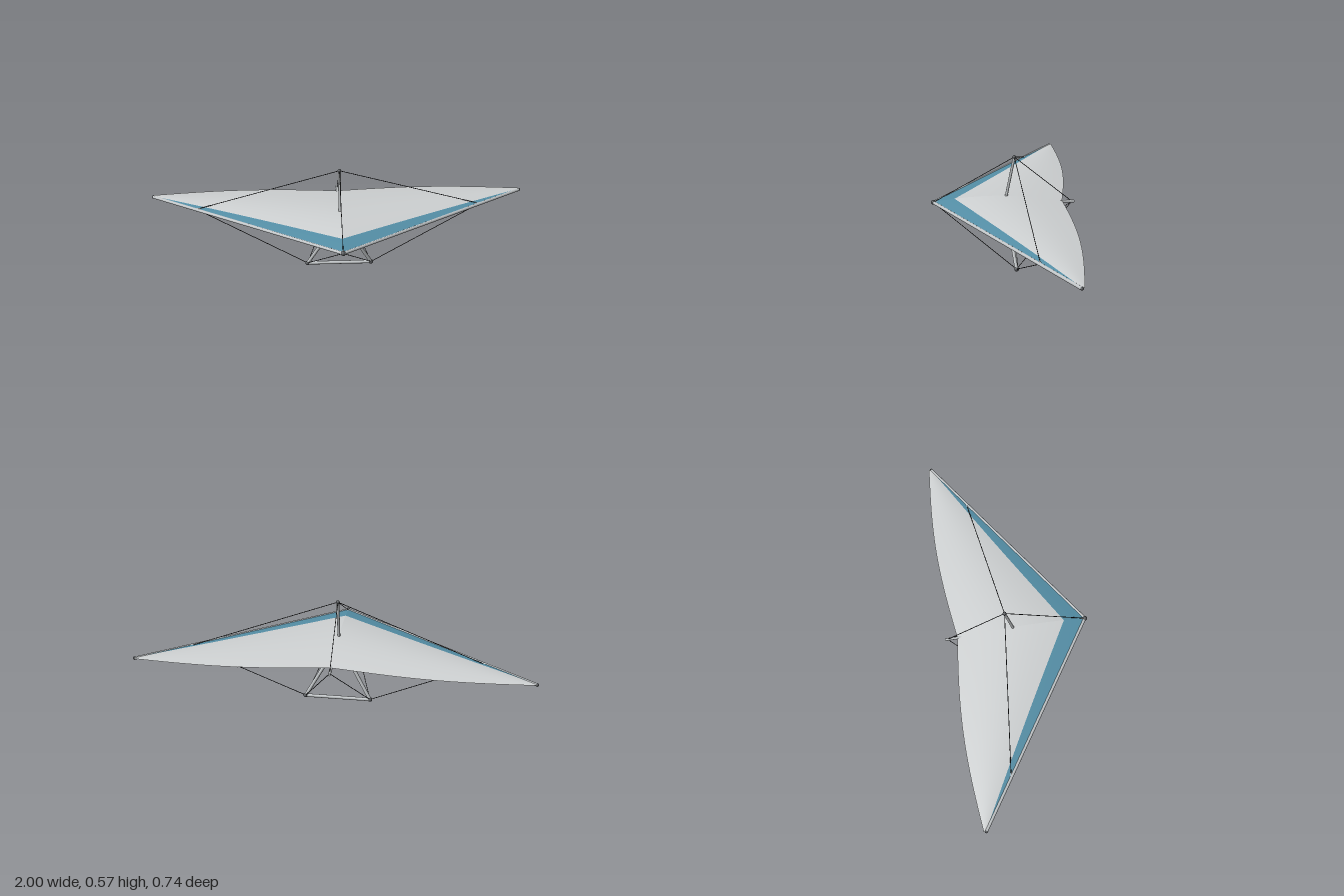
import * as THREE from 'three';

const mat = (name, color, extra = {}) => {
  const m = new THREE.MeshStandardMaterial({ color, ...extra });
  m.name = name;
  return m;
};

const V = (x, y, z) => new THREE.Vector3(x, y, z);

// Key points of the airframe
const NOSE = V(0, 0.317, 0.355);
const TAIL = V(0, 0.317, -0.373);
const APEX = V(0, 0.31, -0.014);
const MAST_TOP = V(0, 0.56, -0.062);
const wingTip = (s) => V(s * 0.994, 0.304, -0.312);
const corner = (s) => V(s * 0.17, 0.012, -0.07);
const brace = (s) => V(s * 0.75, 0.308, -0.152);

// Sail surface: u runs root to tip, t runs leading to trailing edge
function sailPoint(side, u, t) {
  const front = 0.354 - 0.666 * u;
  const back = -(0.31 + 0.015 * u + 0.035 * Math.sin(Math.PI * u));
  const chord = front - back;
  const y = 0.321 - 0.013 * u + 0.045 * chord * Math.sin(Math.PI * t);
  return V(side * u * 0.995, y, front - chord * t);
}

export function createModel() {
  const group = new THREE.Group();
  group.name = 'hangGlider';
  const sailGrey = mat('sail grey', 0xd0d3d4, { side: THREE.DoubleSide });
  const sailBlue = mat('sail blue', 0x5590a8, { side: THREE.DoubleSide });
  const tubeGrey = mat('tube grey', 0xc0c4c6);
  const fittingGrey = mat('fitting grey', 0x55585b);
  const wireDark = mat('wire dark', 0x2a2b2d);

  const add = (name, geometry, material) => {
    const mesh = new THREE.Mesh(geometry, material);
    mesh.name = name;
    group.add(mesh);
    return mesh;
  };

  // Straight round bar between two points
  const bar = (name, a, b, r, material = tubeGrey, sides = 14) => {
    const mesh = add(name, new THREE.CylinderGeometry(r, r, a.distanceTo(b), sides), material);
    mesh.position.copy(a).lerp(b, 0.5);
    mesh.quaternion.setFromUnitVectors(V(0, 1, 0), b.clone().sub(a).normalize());
    return mesh;
  };
  const wire = (name, a, b) => bar(name, a, b, 0.0018, wireDark, 6);
  const ball = (name, p, r) =>
    add(name, new THREE.SphereGeometry(r, 16, 12), fittingGrey).position.copy(p);

  // Cambered half sail with a coloured band along the leading edge
  const sail = (side) => {
    const nu = 40, nt = 20, bandRows = 4, band = 0.165;
    const geo = new THREE.PlaneGeometry(1, 1, nu, nt);
    const pos = geo.attributes.position;
    for (let i = 0; i < pos.count; i++) {
      const u = (i % (nu + 1)) / nu;
      const row = Math.floor(i / (nu + 1));
      const t = row <= bandRows
        ? band * row / bandRows
        : band + (1 - band) * (row - bandRows) / (nt - bandRows);
      const p = sailPoint(side, u, t);
      pos.setXYZ(i, p.x, p.y, p.z);
    }
    geo.computeVertexNormals();
    geo.addGroup(0, bandRows * nu * 6, 0);
    geo.addGroup(bandRows * nu * 6, (nt - bandRows) * nu * 6, 1);
    add('sail', geo, [sailBlue, sailGrey]);
  };

  // Keel, mast and base of the control frame
  bar('keel', NOSE, TAIL, 0.007);
  bar('kingpost', APEX, MAST_TOP, 0.007);
  bar('baseBar', corner(-1), corner(1), 0.009);
  ball('noseFitting', NOSE, 0.012);
  ball('kingpostCap', MAST_TOP, 0.0095);
  ball('apexFitting', APEX, 0.011);
  wire('upperNoseWire', MAST_TOP, NOSE);
  wire('upperTailWire', MAST_TOP, TAIL.clone().setZ(-0.36));

  for (const s of [-1, 1]) {
    sail(s);

    // Spars and control frame
    bar('leadingEdge', NOSE, wingTip(s), 0.008);
    bar('crossbar', V(0, 0.308, -0.05), brace(s), 0.006);
    bar('downtube', APEX, corner(s), 0.009);
    ball('frameCorner', corner(s), 0.012);
    ball('tipCap', wingTip(s), 0.0083);

    // Rigging
    wire('upperSideWire', MAST_TOP, brace(s));
    wire('lowerSideWire', corner(s), brace(s));
    wire('lowerNoseWire', corner(s), NOSE);
    wire('lowerTailWire', corner(s), TAIL.clone().setZ(-0.36));

    // Battens just under the sail
    for (const u of [0.16, 0.31, 0.46, 0.61, 0.75, 0.87]) {
      const pts = [];
      for (let k = 0; k <= 8; k++) {
        const p = sailPoint(s, u, 0.17 + 0.83 * k / 8);
        p.y -= 0.0015;
        pts.push(p);
      }
      const curve = new THREE.CatmullRomCurve3(pts);
      add('batten', new THREE.TubeGeometry(curve, 16, 0.0015, 6), fittingGrey);
    }
  }
  return group;
}
